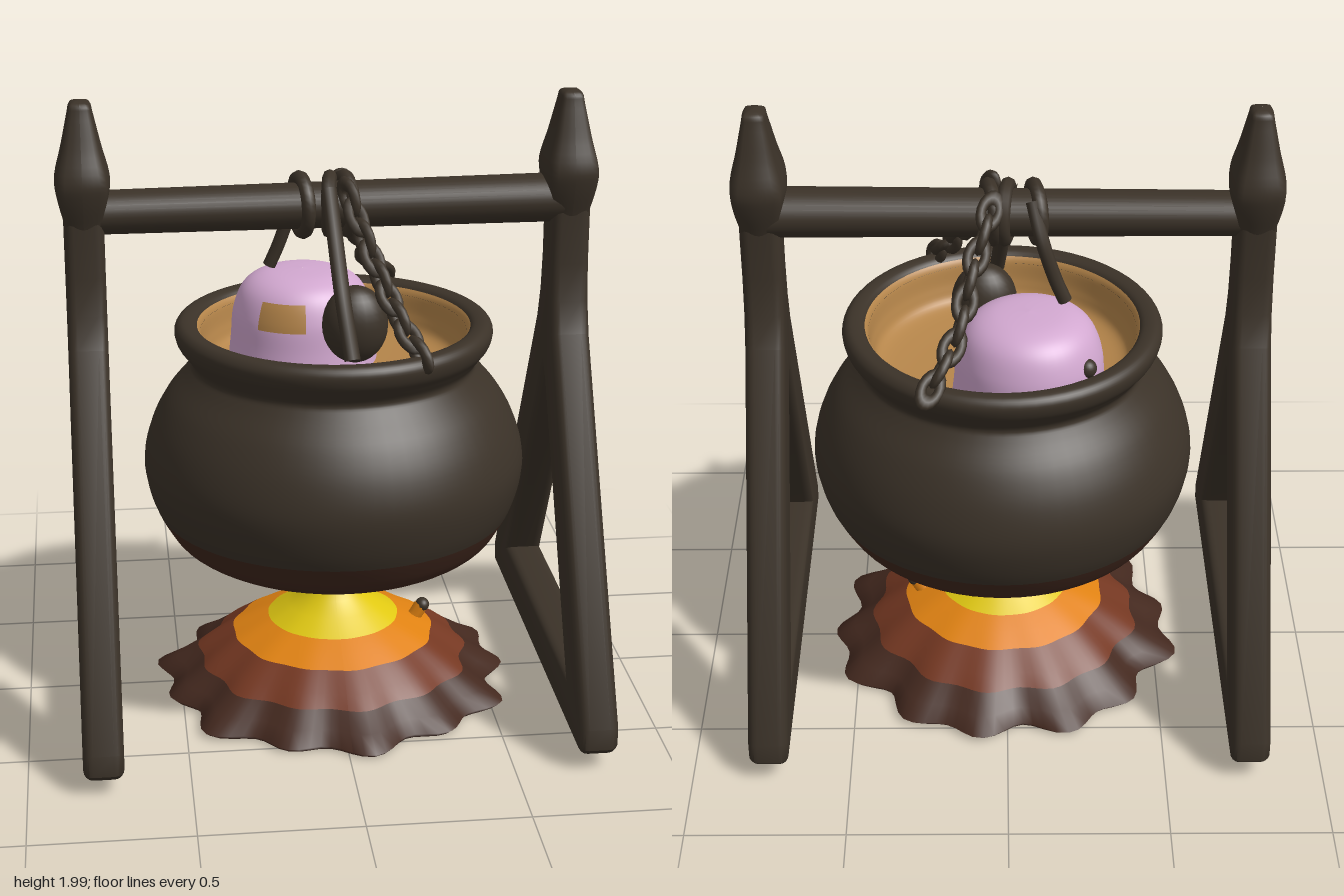
import * as THREE from 'three';
import { toCreasedNormals } from 'three/addons/utils/BufferGeometryUtils.js';

const mat = (name, color) => {
  const m = new THREE.MeshStandardMaterial({ color });
  m.name = name;
  return m;
};

export function createModel() {
  const iron = mat('dark iron', 0x3b3228);
  const scorched = mat('scorched iron', 0x40271d);
  const broth = mat('broth tan', 0xb5854a);
  const pink = mat('bubble pink', 0xd2a8d0);
  const yellow = mat('flame yellow', 0xe0c812);
  const orange = mat('flame orange', 0xe08212);
  const ember = mat('ember red', 0x753822);
  const ash = mat('ash brown', 0x44291f);

  const model = new THREE.Group();
  const add = (name, geo, material, x = 0, y = 0, z = 0, parent = model) => {
    const m = new THREE.Mesh(geo, material);
    m.name = name;
    m.position.set(x, y, z);
    parent.add(m);
    return m;
  };

  // Turned profile; warp(angle, radius) optionally scales the radius around the axis
  const lathe = (pts, segs = 64, warp = null, start = 0, len = Math.PI * 2) => {
    const g = new THREE.LatheGeometry(pts.map(p => new THREE.Vector2(...p)), segs, start, len);
    if (warp) {
      const p = g.attributes.position;
      for (let i = 0; i < p.count; i++) {
        const x = p.getX(i), z = p.getZ(i), s = warp(Math.atan2(x, z), Math.hypot(x, z));
        p.setX(i, x * s);
        p.setZ(i, z * s);
      }
      g.computeVertexNormals();
    }
    return g;
  };
  const smooth = (pts, n = 40) =>
    new THREE.SplineCurve(pts.map(p => new THREE.Vector2(...p))).getPoints(n).map(v => [v.x, v.y]);

  // A-shaped side frames with finials
  const outline = new THREE.Shape([
    [-0.73, 0.06], [0.73, 0.06], [0.75, 0.08], [0.75, 0.15], [0.13, 1.23], [0.095, 1.33], [0.08, 1.45], [0.08, 1.7],
    [-0.08, 1.7], [-0.08, 1.45], [-0.095, 1.33], [-0.13, 1.23], [-0.75, 0.15], [-0.75, 0.08],
  ].map(p => new THREE.Vector2(...p)));
  outline.holes.push(new THREE.Path([
    [-0.5, 0.22], [-0.03, 1.04], [0, 1.075], [0.03, 1.04], [0.5, 0.22],
  ].map(p => new THREE.Vector2(...p))));
  const frameGeo = toCreasedNormals(new THREE.ExtrudeGeometry(outline, {
    depth: 0.065, bevelThickness: 0.03, bevelSize: 0.03, bevelOffset: -0.03, bevelSegments: 4,
  }).translate(0, 0, -0.0325).rotateY(Math.PI / 2), 0.7);
  const finialGeo = lathe(smooth([
    [0.001, 1.55], [0.06, 1.56], [0.085, 1.62], [0.11, 1.7], [0.115, 1.76], [0.085, 1.85], [0.055, 1.95], [0.042, 1.985], [0.001, 1.995],
  ], 30), 32, a => Math.pow(Math.max(Math.abs(Math.cos(a)), Math.abs(Math.sin(a))), -0.6));
  for (const [side, x] of [['left', 0.757], ['right', -0.767]]) {
    add(side + 'Frame', frameGeo, iron, x);
    add(side + 'Finial', finialGeo, iron, x).scale.x = 0.74;
  }

  // Crossbar
  const bar = add('crossbar', new THREE.CylinderGeometry(0.077, 0.068, 1.5, 32), iron, 0, 1.643, 0);
  bar.rotation.z = -Math.PI / 2 + 0.006;
  bar.rotation.order = 'XYZ';
  bar.scale.z = 1.15;

  // Cauldron body, scorched base and rim
  const pot = new THREE.Group();
  pot.name = 'cauldron';
  pot.position.x = 0.013;
  model.add(pot);
  const wall = smooth([
    [0.001, 0.465], [0.2, 0.467], [0.38, 0.485], [0.5, 0.54], [0.555, 0.61], [0.595, 0.7], [0.613, 0.81], [0.59, 0.92],
    [0.54, 1.02], [0.475, 1.1], [0.455, 1.135], [0.475, 1.17], [0.5, 1.205], [0.507, 1.245], [0.485, 1.27], [0.445, 1.265], [0.425, 1.235],
  ], 80);
  const cut = wall.findIndex(p => p[1] > 0.63);
  add('cauldronBase', lathe(wall.slice(0, cut + 1)), scorched, 0, 0, 0, pot);
  add('cauldronWall', lathe(wall.slice(cut)), iron, 0, 0, 0, pot);
  add('broth', lathe(smooth([
    [0.438, 1.258], [0.425, 1.235], [0.415, 1.17], [0.39, 1.12], [0.3, 1.1], [0.15, 1.09], [0.001, 1.09],
  ])), broth, 0, 0, 0, pot);

  // Large bubble with a broth splash and a small pit
  const dome = smooth([
    [0.245, 1.07], [0.235, 1.16], [0.225, 1.26], [0.19, 1.34], [0.12, 1.38], [0.001, 1.39],
  ]);
  add('bubble', lathe(dome, 48), pink, -0.07, 0, -0.17);
  const patch = dome.filter(p => p[1] > 1.23 && p[1] < 1.325).map(p => [p[0] + 0.005, p[1] + 0.002]);
  add('bubbleSplash', lathe(patch, 12, null, -0.75, 0.7), broth, -0.07, 0, -0.17);
  const ball = new THREE.SphereGeometry(1, 24, 16);
  const blob = (name, m, x, y, z, sx, sy, sz) => add(name, ball, m, x, y, z).scale.set(sx, sy, sz);
  blob('bubblePit', iron, -0.245, 1.26, -0.295, 0.03, 0.03, 0.03);

  // Floating morsels
  blob('largeMorsel', iron, 0.07, 1.28, 0.1, 0.105, 0.125, 0.085);
  blob('smallMorsel', iron, -0.065, 1.11, 0.25, 0.036, 0.04, 0.04);
  blob('smallBubble', pink, -0.075, 1.12, 0.205, 0.026, 0.035, 0.026);

  // Chains of alternating links
  const linkGeo = new THREE.TorusGeometry(0.027, 0.016, 8, 16).scale(1.6, 1, 1);
  const X = new THREE.Vector3(1, 0, 0);
  const vec = p => new THREE.Vector3(...p);
  const chain = (name, pts, n) => {
    const g = new THREE.Group();
    g.name = name;
    const c = new THREE.CatmullRomCurve3(pts.map(vec));
    for (let i = 0; i < n; i++) {
      const t = i / (n - 1);
      const link = add('link', linkGeo, iron, ...c.getPointAt(t).toArray(), g);
      link.quaternion.setFromUnitVectors(X, c.getTangentAt(t));
      link.rotateX(0.5 + (i % 2) * Math.PI / 2);
    }
    model.add(g);
  };
  chain('frontChain', [[0.05, 1.69, 0.09], [0.11, 1.52, 0.2], [0.18, 1.36, 0.34], [0.23, 1.28, 0.42]], 9);
  chain('backChain', [[0.05, 1.69, -0.09], [0.11, 1.53, -0.22], [0.15, 1.4, -0.33], [0.23, 1.28, -0.45]], 9);

  // Ropes and their wraps round the bar
  const rope = (name, pts, r) =>
    add(name, new THREE.TubeGeometry(new THREE.CatmullRomCurve3(pts.map(vec)), 32, r, 8), iron);
  rope('frontRope', [[-0.01, 1.71, 0.07], [0, 1.58, 0.15], [0.01, 1.42, 0.28], [0.03, 1.25, 0.37]], 0.025);
  rope('hookRope', [[-0.08, 1.71, -0.06], [-0.11, 1.6, -0.12], [-0.15, 1.48, -0.135], [-0.18, 1.41, -0.14]], 0.022);
  [[-0.09, 0.2], [0, -0.15], [0.05, 0.2]].forEach(([x, tilt], i) => {
    const wrap = add('barWrap' + (i + 1), new THREE.TorusGeometry(0.085, 0.023, 8, 32), iron, x, 1.645, 0);
    wrap.rotation.y = Math.PI / 2 + tilt;
  });

  // Fire mound in colour bands with a ragged skirt
  const ragged = (a, r) =>
    1 + 0.055 * Math.min(1, Math.pow(r / 0.56, 3)) * (Math.sin(a * 13) + 0.6 * Math.sin(a * 7 + 1));
  const fire = new THREE.Group();
  fire.name = 'fire';
  fire.position.set(0.01, 0, 0.01);
  model.add(fire);
  const bands = [
    ['ashBase', ash, [[0.001, 0.01], [0.54, 0.01], [0.555, 0.025], [0.5, 0.06], [0.44, 0.105]]],
    ['emberBand', ember, [[0.44, 0.105], [0.4, 0.14], [0.33, 0.19]]],
    ['orangeFlame', orange, [[0.33, 0.19], [0.27, 0.22], [0.215, 0.245]]],
    ['yellowFlame', yellow, [[0.215, 0.245], [0.15, 0.285], [0.1, 0.325], [0.075, 0.365]]],
    ['flameTip', broth, [[0.075, 0.365], [0.066, 0.4], [0.06, 0.475]]],
  ];
  for (const [name, m, pts] of bands) add(name, lathe(pts, 104, ragged), m, 0, 0, 0, fire);

  // Small twig poking from the fire
  rope('twig', [[0.24, 0.19, 0], [0.28, 0.205, 0], [0.31, 0.25, 0]], 0.025).material = orange;
  blob('twigEnd', iron, 0.313, 0.25, 0, 0.023, 0.023, 0.026);

  return model;
}
